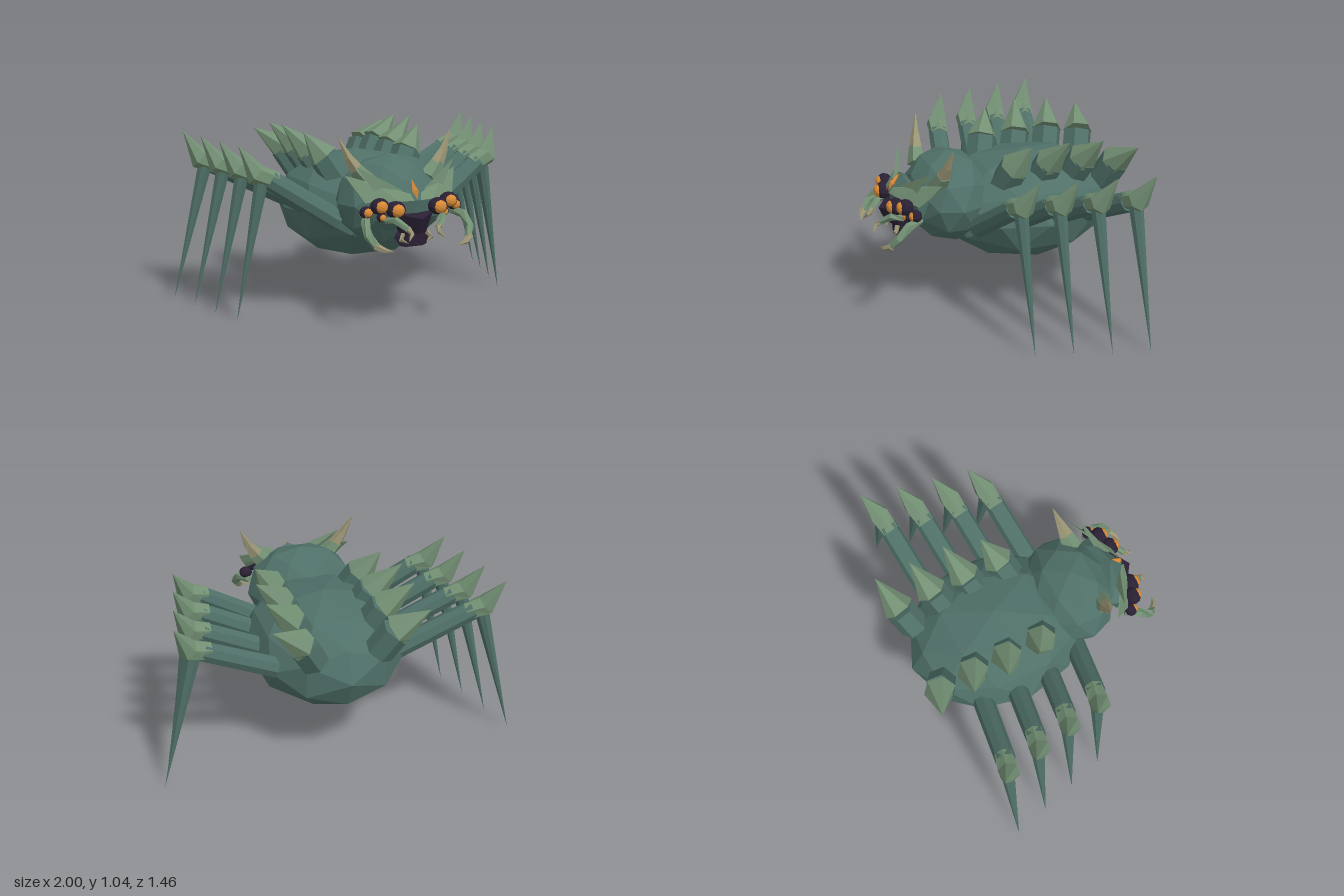
import * as THREE from 'three';
import { ConvexGeometry } from 'three/addons/geometries/ConvexGeometry.js';

const mat = (name, color) => {
  const m = new THREE.MeshStandardMaterial({ color });
  m.name = name;
  return m;
};

// Faceted normals on an unindexed geometry
function facet(geo) {
  const g = geo.index ? geo.toNonIndexed() : geo;
  g.computeVertexNormals();
  return g;
}

// Faceted limb through centre points [x, y, z, radius], closed at both ends
function limb(nodes, sides = 6, phase = 0) {
  const c = nodes.map(n => new THREE.Vector3(n[0], n[1], n[2]));
  const rings = c.map((p, i) => {
    const t = c[Math.min(i + 1, c.length - 1)].clone().sub(c[Math.max(i - 1, 0)]).normalize();
    const u = new THREE.Vector3(0, 0, 1).cross(t).normalize();
    const v = t.clone().cross(u);
    const ring = [];
    for (let j = 0; j <= sides; j++) {
      const a = ((j + phase) / sides) * Math.PI * 2;
      ring.push(p.clone().addScaledVector(u, Math.cos(a) * nodes[i][3]).addScaledVector(v, Math.sin(a) * nodes[i][3]));
    }
    return { ring, r: nodes[i][3] };
  });
  const point = p => ({ ring: Array(sides + 1).fill(p), r: 0 });
  if (rings[0].r > 0) rings.unshift(point(c[0]));
  if (rings.at(-1).r > 0) rings.push(point(c.at(-1)));
  const pts = [];
  for (let i = 0; i < rings.length - 1; i++) {
    const A = rings[i], B = rings[i + 1];
    for (let j = 0; j < sides; j++) {
      if (A.r > 0) pts.push(A.ring[j], A.ring[j + 1], B.ring[j + 1]);
      if (B.r > 0) pts.push(A.ring[j], B.ring[j + 1], B.ring[j]);
    }
  }
  return facet(new THREE.BufferGeometry().setFromPoints(pts));
}

const hull = pts => facet(new ConvexGeometry(pts.map(p => new THREE.Vector3(...p))));
const ball = (x, y, z, rx, ry, rz) =>
  facet(new THREE.IcosahedronGeometry(1, 1).scale(rx, ry, rz).translate(x, y, z));
// Both halves of a symmetric list of points
const both = pts => pts.flatMap(([x, y, z]) => (x ? [[x, y, z], [-x, y, z]] : [[x, y, z]]));

export function createModel() {
  const model = new THREE.Group();
  model.name = 'spider';
  const skin = mat('body green', 0x4f7068);
  const plate = mat('plate green', 0x728f73);
  const horn = mat('horn tan', 0x9a9474);
  const dark = mat('dark purple', 0x2a2034);
  const orange = mat('eye orange', 0xd88a35);

  const add = (name, geo, material, parent = model) => {
    const m = new THREE.Mesh(geo, material);
    m.name = name;
    parent.add(m);
    return m;
  };

  // Body
  add('abdomen', ball(0, 0.57, -0.2, 0.445, 0.31, 0.52), skin);
  add('thorax', ball(0, 0.665, 0.26, 0.315, 0.257, 0.24), skin);

  // Head
  add('head', hull(both([
    [0, 0.82, 0.52], [0, 0.72, 0.595], [0, 0.6, 0.57], [0.12, 0.78, 0.5],
    [0.22, 0.7, 0.5], [0.2, 0.6, 0.47], [0.12, 0.54, 0.45], [0.2, 0.72, 0.42],
  ])), skin);
  add('foreheadMark', limb([[0, 0.725, 0.598, 0], [0, 0.765, 0.572, 0.018], [0, 0.825, 0.525, 0]], 4), orange);
  add('muzzle', hull(both([
    [0.095, 0.65, 0.59], [0.07, 0.53, 0.56], [0.09, 0.64, 0.48], [0.06, 0.54, 0.48],
    [0, 0.63, 0.655], [0, 0.55, 0.62],
  ])), dark);
  add('lowerJaw', hull(both([
    [0.11, 0.52, 0.54], [0.08, 0.47, 0.55], [0.04, 0.535, 0.57],
    [0.05, 0.465, 0.565], [0.07, 0.54, 0.5], [0.05, 0.48, 0.52],
  ])), dark);

  for (const s of [1, -1]) {
    const side = new THREE.Group();
    side.name = s > 0 ? 'leftSide' : 'rightSide';
    model.add(side);
    const put = (name, geo, material) => add(name, geo, material, side);
    const flip = nodes => nodes.map(([x, ...rest]) => [s * x, ...rest]);

    // Brow plates sweeping back into points
    put('brow', hull(flip([
      [0.02, 0.72, 0.6], [0.03, 0.755, 0.575], [0.1, 0.72, 0.58], [0.26, 0.71, 0.5],
      [0.18, 0.79, 0.5], [0.33, 0.845, 0.39], [0.29, 0.76, 0.45],
    ])), plate);
    put('browSpike', hull(flip([
      [0.06, 0.77, 0.55], [0.2, 0.76, 0.5], [0.18, 0.81, 0.49], [0.12, 0.76, 0.49], [0.29, 0.9, 0.45],
    ])), plate);

    // Eyes: dark socket with a bright front
    for (const [x, y, z, r] of [
      [0.125, 0.68, 0.59, 0.048], [0.205, 0.7, 0.56, 0.045],
      [0.262, 0.665, 0.52, 0.034], [0.185, 0.635, 0.545, 0.025],
    ]) {
      put('eyeSocket', ball(s * x, y, z, r * 1.15, r, r), dark);
      put('eye', ball(s * x, y, z + r * 0.55, r * 0.8, r * 0.76, r * 0.62), orange);
    }

    // Outer and inner mouth claws
    put('outerClaw', limb(flip([
      [0.25, 0.63, 0.49, 0.02], [0.29, 0.62, 0.57, 0.026], [0.3, 0.56, 0.63, 0.026], [0.27, 0.51, 0.67, 0.02],
    ]), 5), plate);
    put('outerClawTip', limb(flip([[0.28, 0.515, 0.665, 0.022], [0.24, 0.495, 0.695, 0.015], [0.19, 0.485, 0.71, 0]]), 5), horn);
    put('innerClaw', limb(flip([[0.17, 0.62, 0.56, 0.018], [0.14, 0.63, 0.62, 0.022], [0.09, 0.585, 0.67, 0.018]]), 5), plate);
    put('innerClawTip', limb(flip([[0.09, 0.59, 0.665, 0.018], [0.08, 0.565, 0.695, 0.013], [0.11, 0.53, 0.72, 0]]), 5), horn);
    put('fang', limb(flip([[0.07, 0.54, 0.57, 0.014], [0.09, 0.51, 0.585, 0.014], [0.05, 0.49, 0.6, 0]]), 4), horn);

    // Thorax horns
    put('hornBase', limb(flip([[0.18, 0.79, 0.37, 0.058], [0.25, 0.87, 0.355, 0.04]]), 5), plate);
    put('horn', limb(flip([[0.235, 0.855, 0.358, 0.042], [0.285, 0.93, 0.345, 0.025], [0.34, 1.045, 0.325, 0]]), 5), horn);

    // Back spikes: base and pale tip
    [[0.36, 1.01, -0.105], [0.41, 1.03, -0.31], [0.41, 1.015, -0.51], [0.43, 0.955, -0.71]].forEach(([x, y, z], i) => {
      const drop = i === 3 ? 0.04 : 0;
      const mid = [0.26, 0.87 - drop, z + 0.055];
      put('backSpikeBase', limb(flip([[0.18, 0.73 - drop, z + 0.1, 0.085], [...mid, 0.085]]), 6, 0.5), skin);
      put('backSpikeTip', limb(flip([[...mid, 0.088], [x, y, z, 0]]), 6, 0.5), plate);
    });

    // Legs, spreading wider towards the rear
    for (let i = 0; i < 4; i++) {
      const z = -0.2 * i, w = 0.04 * i;
      put('upperLeg', limb(flip([[0.27, 0.55, 0.165 + z, 0.06], [0.64 + w, 0.795, 0.095 + z, 0.056]]), 8), skin);
      put('kneeSpike', limb(flip([
        [0.6 + w, 0.785, 0.1 + z, 0.052], [0.71 + w, 0.825, 0.08 + z, 0.062], [0.79 + w, 0.985, 0.02 + z, 0],
      ]), 6), plate);
      put('lowerLeg', limb(flip([[0.68 + w, 0.8, 0.08 + z, 0.042], [0.83 + 0.057 * i, 0.005, 0.05 + z, 0]]), 8), skin);
    }
  }
  return model;
}
